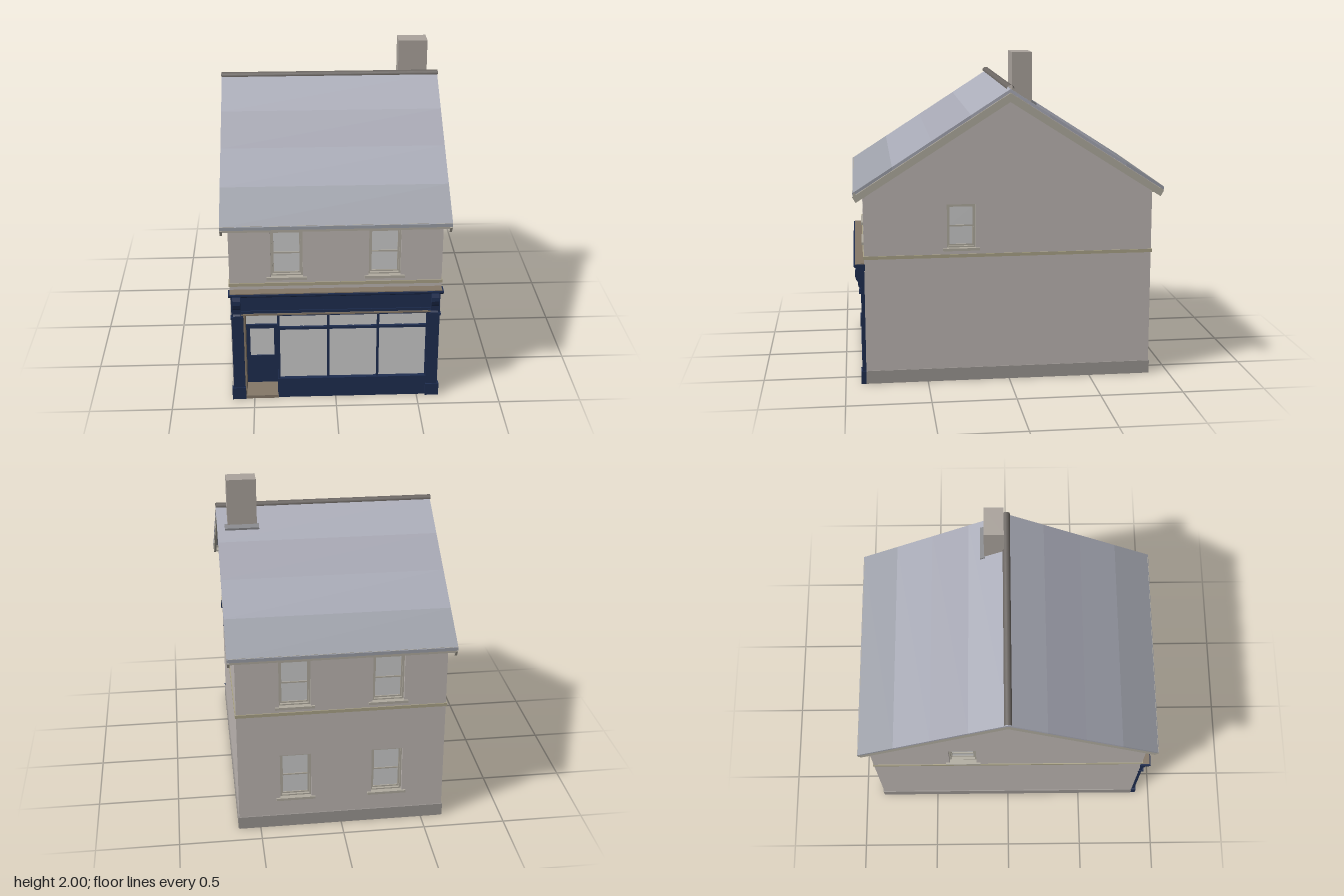
import * as THREE from 'three';

const mat = (color, side = THREE.FrontSide) => new THREE.MeshStandardMaterial({ color, side });
const WALL = mat(0xbdb6b2), PLINTH = mat(0x9b9692), TRIM = mat(0xb0ab9f), CREAM = mat(0xaaa388);
const NAVY = mat(0x1e2d50), GLASS = mat(0xcccccc), TAN = mat(0x857868), DARK = mat(0x4a433a);
const RIDGE = mat(0x6c6763, THREE.DoubleSide), LEAD = mat(0x85868a), POT = mat(0xaaa39c);
const SLATES = [0xabadb9, 0xa5a6b2, 0xa6a8b4, 0x9c9fa8].map((c) => mat(c));

const HX = 0.63, HZ = 0.875, T = 0.06;         // wall half sizes and thickness
const APEX = 1.79, SLOPE = 0.642, EAVE = 0.935; // roof surface
const roofY = (z) => APEX - SLOPE * Math.abs(z);

function add(parent, name, geometry, material) {
  const mesh = new THREE.Mesh(geometry, material);
  mesh.name = name;
  parent.add(mesh);
  return mesh;
}

// box given by its limits on each axis
function box(parent, name, material, [x0, x1], [y0, y1], [z0, z1]) {
  const m = add(parent, name, new THREE.BoxGeometry(x1 - x0, y1 - y0, z1 - z0), material);
  m.position.set((x0 + x1) / 2, (y0 + y1) / 2, (z0 + z1) / 2);
  return m;
}

const outline = (pts) => new THREE.Shape(pts.map(([a, b]) => new THREE.Vector2(a, b)));
const rect = (x0, x1, y0, y1) => [[x0, y0], [x1, y0], [x1, y1], [x0, y1]];

// flat panel with holes, extruded along z and centred on z = 0
function panel(pts, holes, depth) {
  const s = outline(pts);
  holes.forEach((h) => s.holes.push(outline(h)));
  return new THREE.ExtrudeGeometry(s, { depth, bevelEnabled: false }).translate(0, 0, -depth / 2);
}

// profile in (z, y) extruded along x
const prism = (pts, width, holes = []) => panel(pts, holes, width).rotateY(-Math.PI / 2);

// rectangular frame with a border b
const frame = (w, y0, y1, b, depth) =>
  panel(rect(-w / 2, w / 2, y0, y1), [rect(-w / 2 + b, w / 2 - b, y0 + b, y1 - b)], depth);

// sash window: local z = 0 is the wall face, y = 0 the foot of the opening
function sashWindow(parent, name, w, h, x, y, z, turn) {
  const g = new THREE.Group();
  g.name = name;
  g.position.set(x, y, z);
  g.rotation.y = turn;
  add(g, 'windowFrame', frame(w, 0, h, 0.01, 0.035), TRIM).position.z = -0.037;
  add(g, 'upperSash', frame(w - 0.02, h / 2 - 0.005, h - 0.01, 0.009, 0.01), TRIM).position.z = -0.03;
  add(g, 'lowerSash', frame(w - 0.02, 0.01, h / 2 + 0.005, 0.009, 0.01), TRIM).position.z = -0.04;
  box(g, 'upperPane', GLASS, [-w / 2 + 0.015, w / 2 - 0.015], [h / 2, h - 0.015], [-0.035, -0.031]);
  box(g, 'lowerPane', GLASS, [-w / 2 + 0.015, w / 2 - 0.015], [0.015, h / 2], [-0.046, -0.042]);
  box(g, 'sill', TRIM, [-w / 2 - 0.024, w / 2 + 0.024], [-0.014, 0.002], [-0.05, 0.012]);
  parent.add(g);
}

function buildWalls(house) {
  const g = new THREE.Group();
  g.name = 'walls';
  house.add(g);
  const inner = HX - T, top = 1.2;
  const opening = (c, w, y, h) => rect(c - w / 2, c + w / 2, y, y + h);

  // front wall above the shop, and back wall
  const W = 0.19, H = 0.3, front = [-0.29, 0.29], back = [-0.28, 0.28];
  add(g, 'frontWall', panel(rect(-inner, inner, 0.59, top), front.map((x) => opening(x, W, 0.83, H)), T), WALL)
    .position.z = HZ - T / 2;
  const backHoles = back.flatMap((x) => [opening(x, W, 0.83, H), opening(x, W, 0.2, H)]);
  add(g, 'backWall', panel(rect(-inner, inner, 0, top), backHoles, T), WALL).position.z = -HZ + T / 2;
  front.forEach((x) => sashWindow(g, 'frontWindow', W, H, x, 0.83, HZ, 0));
  for (const x of back) for (const y of [0.2, 0.83]) sashWindow(g, 'backWindow', W, H, x, y, -HZ, Math.PI);

  // gable walls, each with one window
  const gable = [[-HZ, 0], [HZ, 0], [HZ, roofY(HZ) - 0.022], [0, APEX - 0.022], [-HZ, roofY(HZ) - 0.022]];
  for (const s of [1, -1]) {
    add(g, 'gableWall', prism(gable, T, [opening(s * 0.29, 0.175, 0.83, 0.27)]), WALL).position.x = s * (HX - T / 2);
    sashWindow(g, 'gableWindow', 0.175, 0.27, s * HX, 0.83, s * 0.29, s * Math.PI / 2);
    box(g, 'sidePlinth', PLINTH, s > 0 ? [HX - 0.05, HX + 0.006] : [-HX - 0.006, -HX + 0.05], [0, 0.08], [-HZ - 0.004, HZ]);
  }
  box(g, 'backPlinth', PLINTH, [-HX, HX], [0, 0.08], [-HZ - 0.006, -HZ + 0.05]);

  // string course round the house
  const o = 0.006;
  const band = panel(rect(-HX - o, HX + o, -HZ - o, HZ + o),
    [rect(-HX + 0.01, HX - 0.01, -HZ + 0.01, HZ - 0.01)], 0.02).rotateX(Math.PI / 2);
  add(g, 'stringCourse', band, CREAM).position.y = 0.785;

  // ground floor, seen from below
  box(g, 'floor', DARK, [-inner, inner], [0.03, 0.04], [-HZ + T, 0.72]);
  box(g, 'shopFloor', DARK, [-0.35, inner], [0.03, 0.04], [0.72, 0.88]);
  box(g, 'floorBeam', DARK, [-inner, inner], [0.005, 0.03], [0.5, 0.53]);
}

function buildRoof(house) {
  const g = new THREE.Group();
  g.name = 'roof';
  house.add(g);
  const RX = 0.675, n = SLATES.length;
  for (const s of [1, -1]) {
    // bands of slate
    SLATES.forEach((m, i) => {
      const a = (i / n) * EAVE, b = ((i + 1) / n) * EAVE;
      const p = [[a, roofY(a)], [b, roofY(b)], [b, roofY(b) - 0.02], [a, roofY(a) - 0.02]];
      add(g, 'slateBand', prism(p.map(([z, y]) => [s * z, y]), 2 * RX), m);
    });
    // bargeboards at both gables
    const board = [[0, APEX - 0.024], [0.937, roofY(0.937) - 0.024], [0.917, 1.13], [0, 1.713]];
    for (const e of [1, -1]) {
      add(g, 'bargeboard', prism(board.map(([z, y]) => [s * z, y]), 0.014), TRIM).position.x = e * (RX - 0.009);
    }
    // eaves
    const zs = (a, b) => (s > 0 ? [a, b] : [-b, -a]);
    box(g, 'eavesFascia', TRIM, [-RX, RX], [1.155, 1.193], zs(0.915, 0.932));
    box(g, 'soffit', TRIM, [-0.66, 0.66], [1.155, 1.165], zs(HZ - 0.01, 0.92));
  }
  // half-round ridge tiles
  const ridge = new THREE.CylinderGeometry(0.023, 0.023, 2 * RX + 0.004, 16, 1, true, 0, Math.PI)
    .rotateZ(Math.PI / 2);
  add(g, 'ridgeTiles', ridge, RIDGE).position.y = APEX;

  // chimney and its flashing
  box(g, 'chimney', POT, [0.43, 0.61], [1.62, 2], [-0.135, -0.015]);
  const apron = [[-0.13, roofY(0.13) - 0.01], [-0.13, roofY(0.13) + 0.012], [-0.16, roofY(0.16) + 0.012], [-0.16, roofY(0.16) - 0.01]];
  add(g, 'chimneyFlashing', prism(apron, 0.21), LEAD).position.x = 0.523;
}

function buildShopfront(house) {
  const g = new THREE.Group();
  g.name = 'shopfront';
  house.add(g);
  const doorZ = 0.74, L = -0.345, R = 0.555;

  // pilasters with plinth, capital and scrolled console
  const scroll = [[0.87, 0.56], [0.905, 0.56], [0.905, 0.585], [0.897, 0.595], [0.912, 0.605], [0.914, 0.635],
    [0.924, 0.65], [0.932, 0.675], [0.93, 0.7], [0.92, 0.722], [0.87, 0.722]];
  for (const s of [1, -1]) {
    const xs = (a, b) => (s > 0 ? [a, b] : [-b, -a]);
    box(g, 'pilaster', NAVY, xs(R, 0.625), [0, 0.6], [0.84, 0.897]);
    box(g, 'pilasterPlinth', NAVY, xs(0.552, 0.635), [0, 0.08], [0.87, 0.906]);
    box(g, 'capital', NAVY, xs(0.56, 0.63), [0.565, 0.58], [0.87, 0.908]);
    add(g, 'console', prism(scroll, 0.045), NAVY).position.x = s * 0.592;
  }
  // fascia and cornice
  box(g, 'fascia', NAVY, [-0.625, 0.625], [0.595, 0.725], [0.82, 0.893]);
  box(g, 'fasciaMoulding', NAVY, [-0.568, 0.568], [0.605, 0.617], [0.88, 0.899]);
  box(g, 'fasciaBead', TAN, [-0.568, 0.568], [0.585, 0.596], [0.87, 0.899]);
  const cornice = [[0.87, 0.71], [0.9, 0.71], [0.905, 0.722], [0.928, 0.728], [0.937, 0.735], [0.937, 0.746], [0.87, 0.748]];
  add(g, 'cornice', prism(cornice, 1.278), NAVY);
  box(g, 'corniceFlashing', TAN, [-0.63, 0.63], [0.745, 0.752], [0.87, 0.93]);

  // display window
  box(g, 'stallRiser', NAVY, [L - 0.01, R], [0, 0.13], [0.85, 0.893]);
  box(g, 'windowSill', NAVY, [L - 0.01, R], [0.125, 0.138], [0.86, 0.9]);
  box(g, 'displayGlass', GLASS, [L, R], [0.13, 0.585], [0.868, 0.874]);
  box(g, 'transom', NAVY, [L, R], [0.48, 0.495], [0.862, 0.892]);
  box(g, 'windowHead', NAVY, [L, R], [0.575, 0.596], [0.862, 0.89]);
  for (const x of [-0.345, -0.045, 0.255, 0.553]) {
    box(g, 'mullion', NAVY, [x - 0.007, x + 0.007], [0.13, 0.59], [0.862, 0.89]);
  }
  for (const x of [-0.195, 0.105, 0.405]) {
    box(g, 'glazingBar', GLASS, [x - 0.004, x + 0.004], [0.495, 0.576], [0.868, 0.88]);
  }

  // recessed porch
  box(g, 'porchJamb', TAN, [-0.565, -0.545], [0, 0.59], [doorZ - 0.03, 0.885]);
  box(g, 'porchCeiling', TAN, [-0.56, L], [0.583, 0.596], [doorZ - 0.03, 0.88]);
  box(g, 'doorStep', TAN, [-0.555, L - 0.005], [0, 0.02], [doorZ - 0.03, 0.9]);
  box(g, 'returnRiser', NAVY, [L - 0.01, L + 0.01], [0, 0.138], [doorZ - 0.03, 0.87]);
  box(g, 'returnGlass', GLASS, [L - 0.003, L + 0.003], [0.13, 0.585], [doorZ - 0.02, 0.87]);
  box(g, 'returnTransom', NAVY, [L - 0.008, L + 0.008], [0.48, 0.495], [doorZ - 0.02, 0.87]);

  // door with glazed upper part and light above
  const door = panel(rect(-0.545, -0.35, 0.02, 0.43), [rect(-0.522, -0.375, 0.215, 0.408)], 0.02);
  add(g, 'door', door, NAVY).position.z = doorZ;
  box(g, 'doorGlass', GLASS, [-0.525, -0.372], [0.21, 0.41], [doorZ - 0.005, doorZ + 0.003]);
  box(g, 'doorHead', NAVY, [-0.545, -0.35], [0.425, 0.438], [doorZ - 0.015, doorZ + 0.016]);
  box(g, 'fanlight', GLASS, [-0.545, -0.35], [0.435, 0.585], [doorZ - 0.005, doorZ + 0.003]);
}

export function createModel() {
  const house = new THREE.Group();
  house.name = 'cornerShopHouse';
  buildWalls(house);
  buildRoof(house);
  buildShopfront(house);
  return house;
}
